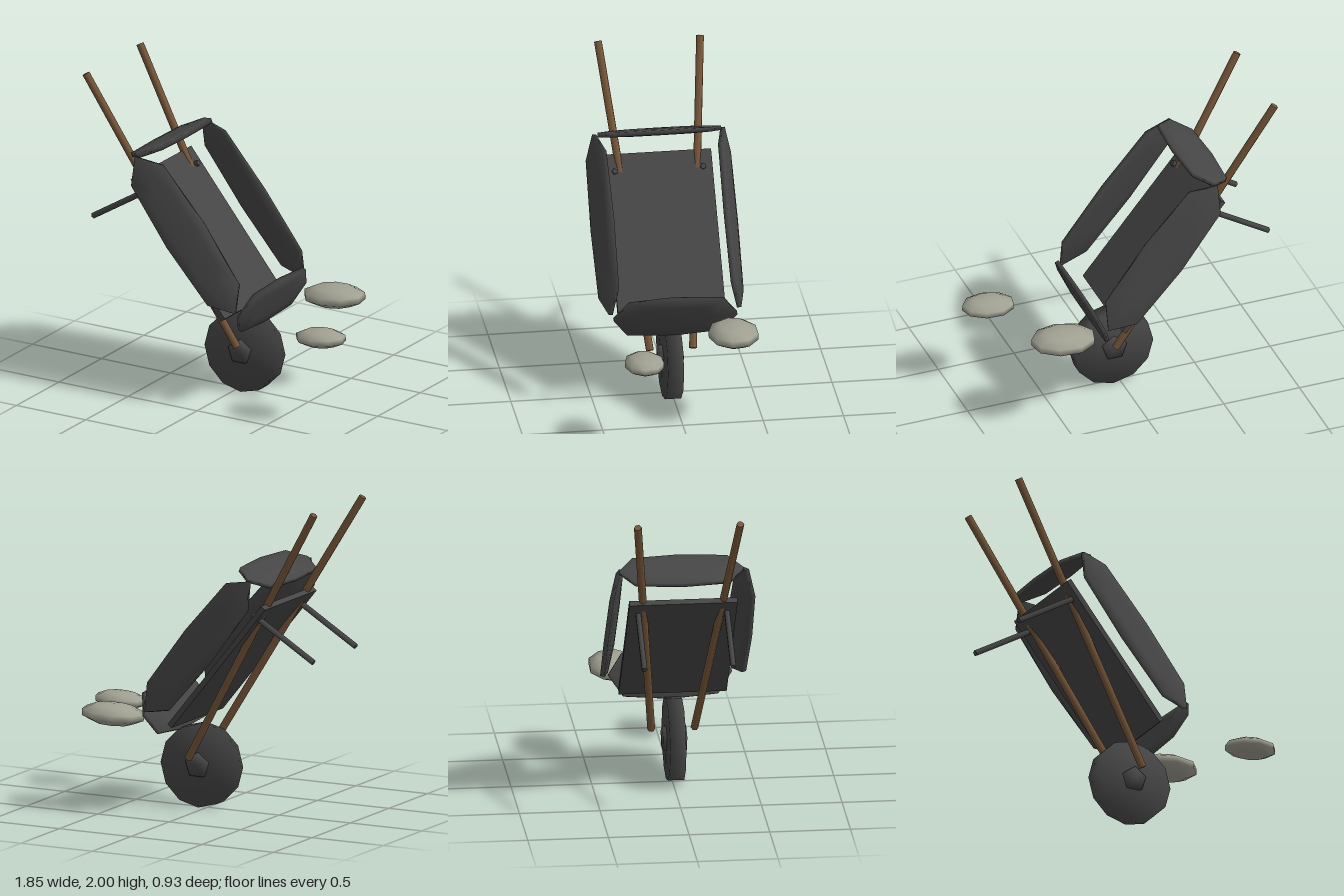
import * as THREE from 'three';
import { mergeVertices } from 'three/addons/utils/BufferGeometryUtils.js';

const V = (x, y, z) => new THREE.Vector3(x, y, z);
const MID = 0.01; // z of the symmetry plane

// Weld corners so the low-poly form shades smoothly
function soften(geo) {
  geo.deleteAttribute('uv');
  geo.deleteAttribute('normal');
  const merged = mergeVertices(geo, 1e-4);
  merged.computeVertexNormals();
  return merged;
}

// Thin eight-cornered plate, slightly domed, long in x and standing in z
function panelGeometry(halfLength, halfHeight) {
  const profile = [[0, -0.021], [0.6, -0.02], [1, -0.014], [1, 0.014], [0.6, 0.02], [0, 0.021]]
    .map(([r, y]) => new THREE.Vector2(r, y));
  const geo = new THREE.LatheGeometry(profile, 8);
  const p = geo.attributes.position;
  for (let i = 0; i < p.count; i++) {
    let x = p.getX(i), z = p.getZ(i);
    if (Math.abs(x) > 1e-4 && Math.abs(z) > 1e-4) { x *= 1.08; z *= 1.2; }
    p.setXYZ(i, x * halfLength, p.getY(i), z * halfHeight);
  }
  return soften(geo);
}

export function createModel() {
  const group = new THREE.Group();
  const material = (name, color) => {
    const m = new THREE.MeshStandardMaterial({ color });
    m.name = name;
    return m;
  };
  const iron = material('dark iron', 0x464646);
  const wood = material('brown wood', 0x765638);
  const stone = material('grey stone', 0xa0a092);

  function add(name, geo, mat, pos) {
    const mesh = new THREE.Mesh(geo, mat);
    mesh.name = name;
    if (pos) mesh.position.copy(pos);
    group.add(mesh);
    return mesh;
  }

  // Orient a mesh by its long direction and its height direction
  function orient(mesh, along, up) {
    const x = along.clone().normalize();
    const y = up.clone().cross(x).normalize();
    const z = x.clone().cross(y);
    mesh.quaternion.setFromRotationMatrix(new THREE.Matrix4().makeBasis(x, y, z));
  }

  function rod(name, a, b, radius, sides, mat) {
    const dir = b.clone().sub(a);
    const mesh = add(name, new THREE.CylinderGeometry(radius, radius, dir.length(), sides), mat,
      a.clone().add(b).multiplyScalar(0.5));
    mesh.quaternion.setFromUnitVectors(V(0, 1, 0), dir.normalize());
  }

  // Tipped tray: down runs along the floor, out points away from it
  const down = V(0.63, -0.777, 0);
  const out = V(0.777, 0.63, 0);

  const floor = add('trayFloor', new THREE.BoxGeometry(1.04, 0.035, 0.67), iron, V(-0.236, 0.97, MID));
  orient(floor, down, V(0, 0, 1));

  for (const s of [1, -1]) {
    const side = s > 0 ? 'left' : 'right';

    // Long tray sides lean inward
    const panel = add(side + 'TraySide', panelGeometry(0.575, 0.142), iron, V(-0.14, 1.1, MID + s * 0.4));
    orient(panel, down, out.clone().multiplyScalar(0.945).add(V(0, 0, -s * 0.327)));

    // Handles converge towards the wheel
    rod(side + 'Handle', V(0.07, 0.325, MID + s * 0.134), V(-0.91, 1.99, MID + s * 0.318), 0.024, 6, wood);

    // Rest legs
    rod(side + 'Leg', V(-0.885, 1.05, MID + s * 0.275), V(-0.46, 1.31, MID + s * 0.275), 0.019, 5, iron);
  }

  // Tray ends
  const upper = add('upperTrayEnd', panelGeometry(0.385, 0.138), iron, V(-0.487, 1.55, 0.005));
  orient(upper, V(0, 0, 1), V(0.93, 0.37, 0));
  const lower = add('lowerTrayEnd', panelGeometry(0.385, 0.16), iron, V(0.24, 0.627, 0.01));
  orient(lower, V(0, 0, 1), V(0.39, 0.92, 0));

  // Wheel and hub
  const wheel = new THREE.CylinderGeometry(0.262, 0.262, 0.1, 12).rotateX(-Math.PI / 2);
  add('wheel', soften(wheel), iron, V(0.048, 0.266, 0.015));
  const hub = new THREE.CylinderGeometry(0.08, 0.08, 0.15, 5).rotateX(-Math.PI / 2);
  add('wheelHub', soften(hub), iron, V(0.048, 0.27, 0.015));

  // Flat stones beside the tray
  const rocks = [
    ['backStone', V(0.49, 0.603, -0.317), V(0.215, 0.068, 0.162), 0.15],
    ['frontStone', V(0.757, 0.557, 0.276), V(0.175, 0.055, 0.128), 0.2],
  ];
  for (const [name, pos, size, turn] of rocks) {
    const geo = new THREE.SphereGeometry(1, 9, 5).rotateY(turn).scale(size.x, size.y, size.z);
    const rock = add(name, soften(geo), stone, pos);
    rock.rotation.z = 0.05;
  }

  return group;
}
